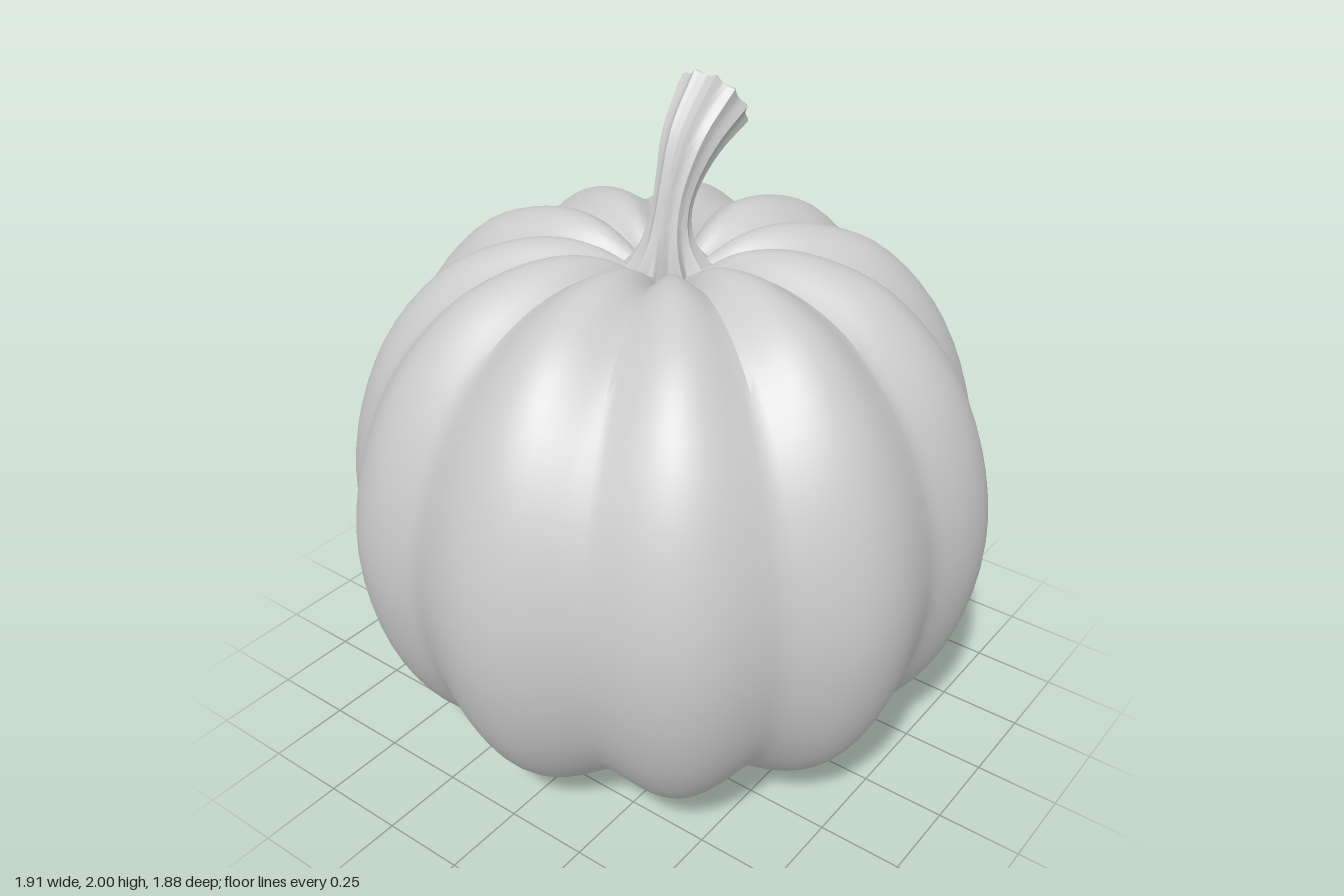
import * as THREE from 'three';
import { toCreasedNormals } from 'three/addons/utils/BufferGeometryUtils.js';

const material = new THREE.MeshStandardMaterial({ color: 0xcccccc });

// Groove directions in degrees, from +z towards +x; slightly uneven like a grown fruit
const GROOVES = [0, 34, 67, 102, 135.5, 168, 202.5, 228, 258, 293, 326, 360];
const LOBES = GROOVES.length - 1;

// Column j -> angle, position across its lobe (0..1) and relative lobe size
function column(j, perLobe) {
  const k = Math.floor(j / perLobe) % LOBES;
  const u = (j % perLobe) / perLobe;
  const width = GROOVES[k + 1] - GROOVES[k];
  const angle = THREE.MathUtils.degToRad(GROOVES[k] + u * width);
  return { angle, u, size: Math.min(1.05, Math.pow(width / 33, 1.1)) };
}

// Closed ring surface: point(row, column) gives a Vector3, rows run upwards
function ringSurface(rows, cols, point, crease) {
  const positions = [], index = [];
  for (let i = 0; i < rows; i++) {
    for (let j = 0; j < cols; j++) positions.push(...point(i, j).toArray());
  }
  for (let i = 0; i < rows - 1; i++) {
    for (let j = 0; j < cols; j++) {
      const a = i * cols + j, b = i * cols + (j + 1) % cols;
      index.push(a, b, b + cols, a, b + cols, a + cols);
    }
  }
  const geometry = new THREE.BufferGeometry();
  geometry.setAttribute('position', new THREE.Float32BufferAttribute(positions, 3));
  geometry.setIndex(index);
  return toCreasedNormals(geometry, crease);
}

const spline = (points) =>
  new THREE.CatmullRomCurve3(points.map(([x, y, z = 0]) => new THREE.Vector3(x, y, z)));

// Body: blends a groove profile into a lobe-crest profile (radius, height)
function bodyGeometry() {
  const crest = spline([
    [0, 0.08], [0.06, 0.065], [0.13, 0.02], [0.26, 0], [0.42, 0.025], [0.6, 0.09],
    [0.78, 0.24], [0.9, 0.46], [0.955, 0.76], [0.915, 1.04], [0.8, 1.3],
    [0.62, 1.49], [0.45, 1.56], [0.32, 1.575], [0.2, 1.55], [0.1, 1.49], [0, 1.44],
  ]);
  const groove = spline([
    [0, 0.08], [0.05, 0.08], [0.11, 0.06], [0.23, 0.045], [0.38, 0.07], [0.55, 0.135],
    [0.725, 0.28], [0.845, 0.48], [0.9, 0.76], [0.865, 1.03], [0.755, 1.265],
    [0.58, 1.44], [0.42, 1.515], [0.29, 1.53], [0.17, 1.495], [0.08, 1.45], [0, 1.42],
  ]);
  const rows = 65, perLobe = 16;
  return ringSurface(rows, LOBES * perLobe, (i, j) => {
    const t = i / (rows - 1);
    const { angle, u, size } = column(j, perLobe);
    // soft valleys round the middle, sharp creases towards both ends
    const power = 0.65 + 0.8 * Math.sin(Math.PI * t);
    const bulge = Math.pow(Math.sin(Math.PI * u), power) * size;
    const p = groove.getPoint(t).lerp(crest.getPoint(t), bulge);
    return new THREE.Vector3(p.x * Math.sin(angle), p.y, p.x * Math.cos(angle));
  }, 0.6);
}

// Stem: ribbed tube whose foot spreads into the grooves, ending in a fluted cut
function stemGeometry() {
  const centre = spline([
    [0, 1.44], [0, 1.49], [0, 1.56], [0.01, 1.63], [0.035, 1.71], [0.1, 1.82], [0.207, 1.91],
  ]);
  // radius, tilt towards +x, rib depth
  const section = spline([
    [0.13, 0, 0.5], [0.1, 0, 0.42], [0.068, 0.05, 0.2], [0.055, 0.2, 0.1],
    [0.057, 0.42, 0.1], [0.08, 0.72, 0.1], [0.104, 1.0, 0.12],
  ]);
  // rows of the cut end: scale, offset along the stem, flute height
  const cut = [[0.93, 0.006, 0.004], [0.6, 0, 0.014], [0.25, -0.008, 0.008], [0, -0.012, 0]];
  const tubeRows = 25, perRib = 8;
  return ringSurface(tubeRows + cut.length, LOBES * perRib, (i, j) => {
    const t = Math.min(1, i / (tubeRows - 1));
    const [scale, offset, flute] = i < tubeRows ? [1, 0, 0] : cut[i - tubeRows];
    const { angle, u } = column(j, perRib);
    const rib = 1 - Math.sin(Math.PI * u);
    const c = centre.getPoint(t), s = section.getPoint(t);
    const r = s.x * scale * (1 + s.z * (rib - 0.4));
    const along = offset + flute * (rib - 0.4);
    const across = r * Math.sin(angle);
    const cos = Math.cos(s.y), sin = Math.sin(s.y);
    return new THREE.Vector3(
      c.x + across * cos + along * sin,
      c.y - across * sin + along * cos,
      r * Math.cos(angle),
    );
  }, 0.65);
}

export function createModel() {
  const group = new THREE.Group();
  group.name = 'pumpkin';
  const parts = { body: bodyGeometry(), stem: stemGeometry() };
  for (const [name, geometry] of Object.entries(parts)) {
    const mesh = new THREE.Mesh(geometry, material);
    mesh.name = name;
    group.add(mesh);
  }
  return group;
}
